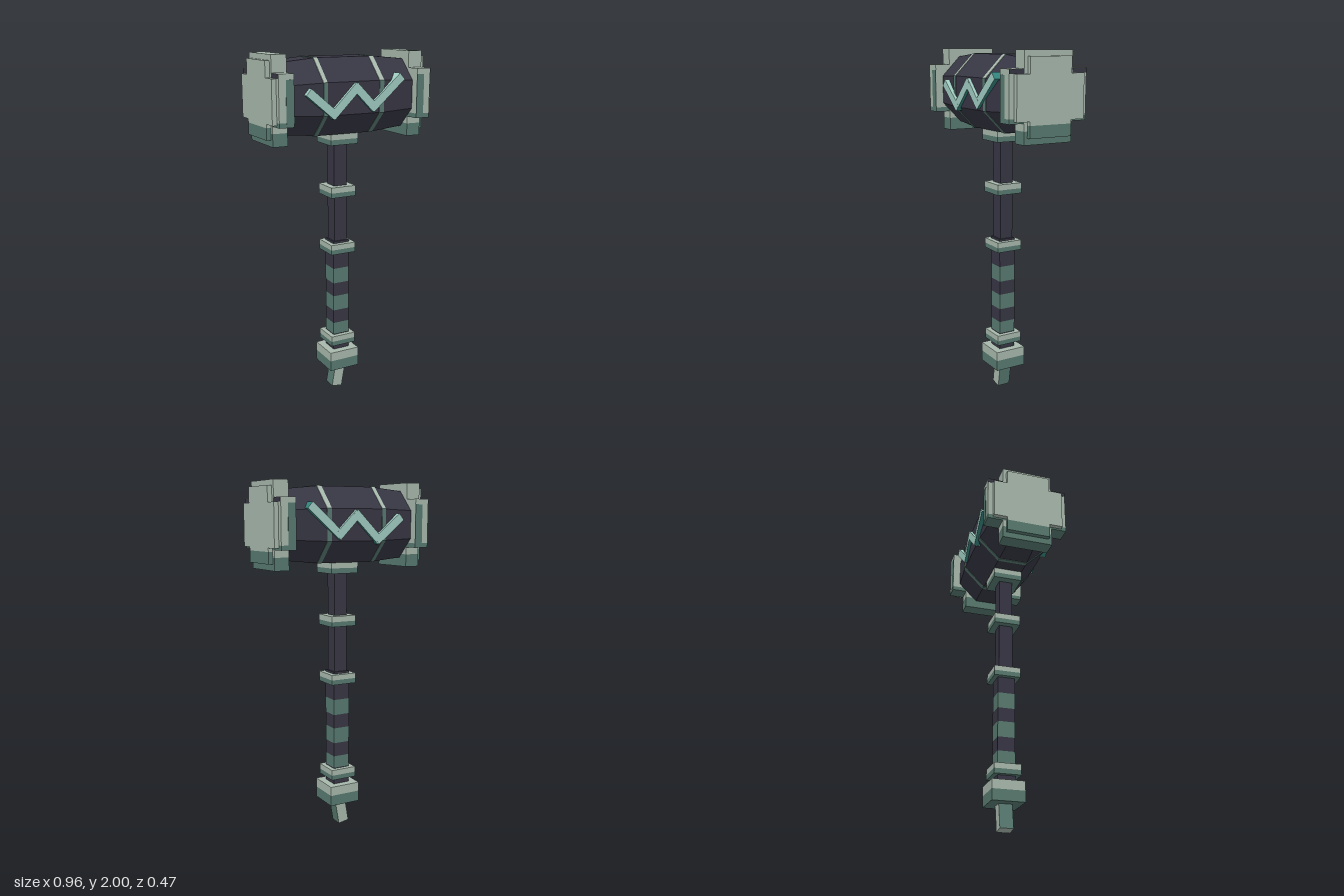
import * as THREE from 'three';

const mat = (name, color) => {
  const m = new THREE.MeshStandardMaterial({ color });
  m.name = name;
  return m;
};

export function createModel() {
  const pale = mat('pale sage', 0xa8b9ad);
  const green = mat('deep sage', 0x587a70);
  const dark = mat('dark slate', 0x373644);
  const mint = mat('bolt mint', 0xa0cdc2);
  const teal = mat('bolt teal', 0x35857f);

  const model = new THREE.Group();
  model.name = 'hammer';

  const add = (name, geo, material, parent = model) => {
    const mesh = new THREE.Mesh(geo, material);
    mesh.name = name;
    parent.add(mesh);
    return mesh;
  };
  // Box given by its extents on each axis
  const box = (name, material, [x0, x1], [y0, y1], [z0, z1], parent = model) => {
    const mesh = add(name, new THREE.BoxGeometry(x1 - x0, y1 - y0, z1 - z0), material, parent);
    mesh.position.set((x0 + x1) / 2, (y0 + y1) / 2, (z0 + z1) / 2);
    return mesh;
  };
  // Square block centred on the handle axis
  const block = (name, material, h, y0, y1) => box(name, material, [-h, h], [y0, y1], [-h, h]);

  // ----- Handle -----
  block('upperShaft', dark, 0.04, 0.93, 1.52);
  const gripCuts = [0.26, 0.36, 0.43, 0.51, 0.6, 0.68, 0.77, 0.935];
  for (let i = 0; i < gripCuts.length - 1; i++) {
    block('gripWrap', i % 2 ? green : dark, 0.05, gripCuts[i], gripCuts[i + 1]);
  }
  // Rings, collar and pommel: pale above, deeper green below
  const collars = [
    ['headCollar', 0.085, 1.5, 1.53, 1.565],
    ['shaftRing', 0.077, 1.2, 1.228, 1.26],
    ['gripTopRing', 0.077, 0.865, 0.893, 0.923],
    ['gripBottomRing', 0.077, 0.295, 0.323, 0.355],
    ['pommel', 0.093, 0.145, 0.207, 0.26],
  ];
  for (const [name, h, y0, ym, y1] of collars) {
    block(name + 'Lower', green, h, y0, ym);
    block(name + 'Upper', pale, h, ym, y1);
  }
  // Tilted stub under the pommel
  const stub = add('pommelStub', new THREE.BoxGeometry(0.065, 0.17, 0.076),
    [green, green, pale, pale, pale, pale]);
  stub.position.set(-0.008, 0.09, 0);
  stub.rotation.z = -0.17;

  // ----- Head: octagonal barrel along x -----
  const head = new THREE.Group();
  head.name = 'head';
  head.position.y = 1.768;
  model.add(head);
  const facet = (pairs, i, n) => {
    const pts = pairs.map(([a, x]) => new THREE.Vector2(a / Math.cos(Math.PI / 8), x));
    const g = new THREE.LatheGeometry(pts, n, Math.PI / 8 + i * Math.PI / 4, n * Math.PI / 4)
      .rotateZ(-Math.PI / 2).toNonIndexed();
    g.computeVertexNormals();
    return g;
  };
  add('barrel', facet([[0.187, -0.38], [0.207, -0.17], [0.207, 0.17], [0.187, 0.38]], 0, 8), dark, head);
  // Thin hoops, pale on the upper diagonals
  for (const [x0, x1] of [[-0.19, -0.167], [0.147, 0.175]]) {
    for (let i = 0; i < 8; i++) {
      const isPale = i === 4 || i === 6;
      add('hoop', facet([[0.205, x0], [0.209, x0], [0.209, x1], [0.205, x1]], i, 1),
        isPale ? pale : green, head);
    }
  }

  // ----- Striking ends, mirrored -----
  for (const s of [-1, 1]) {
    const end = new THREE.Group();
    end.name = s > 0 ? 'leftEnd' : 'rightEnd';
    model.add(end);
    const span = (a, b) => (s > 0 ? [a, b] : [-b, -a]);
    const rim = span(0.37, 0.455), face = span(0.45, 0.48);
    // Cross-shaped rim
    box('rimTall', pale, rim, [1.6, 2], [-0.145, 0.145], end);
    box('rimFoot', green, rim, [1.53, 1.6], [-0.145, 0.145], end);
    box('rimWide', pale, rim, [1.665, 1.91], [-0.233, 0.233], end);
    box('rimWideFoot', green, rim, [1.64, 1.665], [-0.233, 0.233], end);
    // Cross-shaped striking plate
    box('plateTall', pale, face, [1.63, 1.97], [-0.125, 0.125], end);
    box('plateFoot', green, face, [1.565, 1.63], [-0.125, 0.125], end);
    box('plateWide', pale, face, [1.65, 1.885], [-0.203, 0.203], end);
    for (const z of [-1, 1]) {
      const zs = (a, b) => (z > 0 ? [a, b] : [-b, -a]);
      box('rimSidePanel', green, span(0.37, 0.415), [1.66, 1.88], zs(0.23, 0.235), end);
      box('rimNotch', dark, span(0.452, 0.457), [1.885, 1.908], zs(0.145, 0.232), end);
    }
  }
  box('rimTopInlay', dark, [0.37, 0.453], [1.997, 2.001], [0.112, 0.144]);

  // ----- Zigzag bolt running through the head -----
  const bolt = new THREE.Group();
  bolt.name = 'bolt';
  model.add(bolt);
  const path = [[-0.283, 1.812], [-0.135, 1.69], [0, 1.822], [0.105, 1.717], [0.282, 1.872]];
  for (let i = 0; i < path.length - 1; i++) {
    const [ax, ay] = path[i], [bx, by] = path[i + 1];
    const isTip = i === path.length - 2;
    // Inner joints overlap by half a width
    const grow0 = i ? 0.016 : 0, grow1 = isTip ? 0 : 0.016;
    const len = Math.hypot(bx - ax, by - ay);
    const leg = add('boltLeg', new THREE.BoxGeometry(len + grow0 + grow1, 0.045, 0.45 - i * 0.001),
      [isTip ? teal : mint, mint, mint, teal, mint, mint], bolt);
    const shift = (len + grow1 - grow0) / 2 / len;
    leg.position.set(ax + (bx - ax) * shift, ay + (by - ay) * shift, 0);
    leg.rotation.z = Math.atan2(by - ay, bx - ax);
  }

  return model;
}
